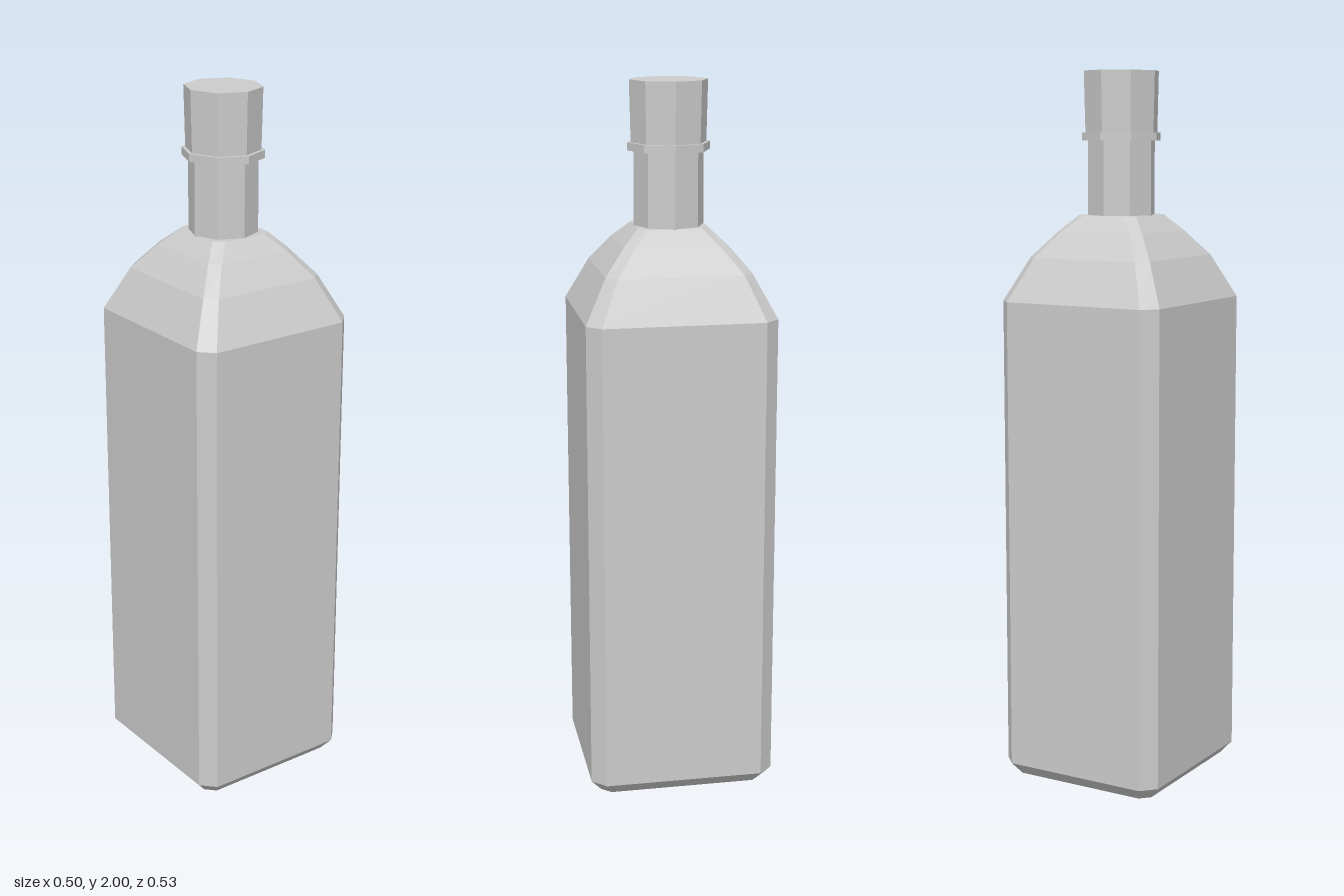
import * as THREE from 'three';

const material = new THREE.MeshStandardMaterial({ color: 0xcccccc, flatShading: true });

// Chamfered rectangles, bottom to top: [y, halfX, halfZ, flatX, flatZ]
const SECTIONS = [
  [0, 0.22, 0.235, 0.194, 0.208],
  [0.035, 0.25, 0.264, 0.212, 0.225],
  [1.37, 0.25, 0.264, 0.212, 0.225],
  [1.49, 0.191, 0.202, 0.161, 0.174],
  [1.56, 0.135, 0.145, 0.11, 0.118],
  [1.605, 0.092, 0.098, 0.064, 0.077],
];

// Loft the eight-cornered sections and close both ends
function loft(sections) {
  const positions = [];
  const index = [];
  for (const [y, x, z, fx, fz] of sections) {
    const ring = [[x, fz], [x, -fz], [fx, -z], [-fx, -z], [-x, -fz], [-x, fz], [-fx, z], [fx, z]];
    for (const [px, pz] of ring) positions.push(px, y, pz);
  }
  for (let s = 0; s < sections.length - 1; s++) {
    for (let i = 0; i < 8; i++) {
      const a = s * 8 + i;
      const b = s * 8 + ((i + 1) % 8);
      index.push(a, b, b + 8, a, b + 8, a + 8);
    }
  }
  const top = (sections.length - 1) * 8;
  for (let i = 1; i < 7; i++) {
    index.push(0, i + 1, i, top, top + i, top + i + 1);
  }
  const geometry = new THREE.BufferGeometry();
  geometry.setAttribute('position', new THREE.Float32BufferAttribute(positions, 3));
  geometry.setIndex(index);
  const flat = geometry.toNonIndexed();
  flat.computeVertexNormals();
  return flat;
}

export function createModel() {
  const bottle = new THREE.Group();
  bottle.name = 'bottle';

  const add = (name, geometry) => {
    const mesh = new THREE.Mesh(geometry, material);
    mesh.name = name;
    bottle.add(mesh);
    return mesh;
  };

  // Octagonal part between two heights, slightly deeper than wide
  const addOctagon = (name, y0, y1, bottomRadius, topRadius) => {
    const mesh = add(name, new THREE.CylinderGeometry(topRadius, bottomRadius, y1 - y0, 8));
    mesh.position.y = (y0 + y1) / 2;
    mesh.scale.z = 1.03;
  };

  // Square body with chamfered edges and sloping shoulders
  add('body', loft(SECTIONS));

  // Neck, collar and stopper
  addOctagon('neck', 1.59, 1.82, 0.095, 0.095);
  addOctagon('collar', 1.81, 1.832, 0.112, 0.112);
  addOctagon('cap', 1.825, 2, 0.102, 0.106);

  return bottle;
}
